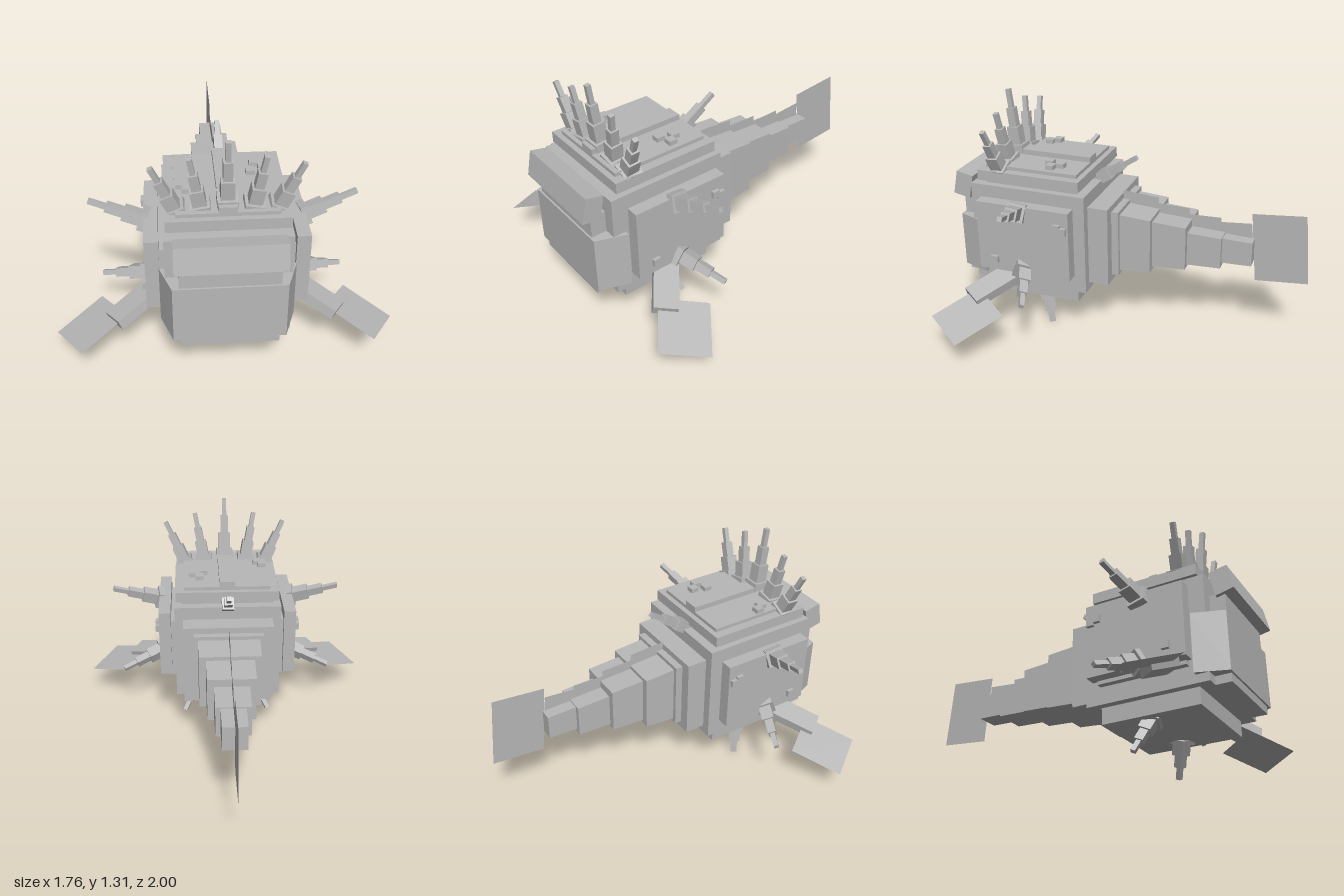
import * as THREE from 'three';

const grey = new THREE.MeshStandardMaterial({ color: 0xb8b8b8, flatShading: true });
grey.name = 'grey';
const greySheet = new THREE.MeshStandardMaterial({ color: 0xb8b8b8, flatShading: true, side: THREE.DoubleSide });
greySheet.name = 'grey sheet';

const rad = THREE.MathUtils.degToRad;

export function createModel() {
  const model = new THREE.Group();
  model.name = 'spinyBoxFish';

  function add(name, geometry, material = grey, parent = model) {
    const mesh = new THREE.Mesh(geometry, material);
    mesh.name = name;
    parent.add(mesh);
    return mesh;
  }

  // Box given by its limits on each axis
  function block(name, x0, x1, y0, y1, z0, z1) {
    const mesh = add(name, new THREE.BoxGeometry(x1 - x0, y1 - y0, z1 - z0));
    mesh.position.set((x0 + x1) / 2, (y0 + y1) / 2, (z0 + z1) / 2);
    return mesh;
  }

  // Stepped spike running from base to tip
  function spike(name, base, tip, pad = true) {
    const group = new THREE.Group();
    group.name = name;
    const a = new THREE.Vector3(...base);
    const dir = new THREE.Vector3(...tip).sub(a);
    const len = dir.length();
    group.position.copy(a);
    group.quaternion.setFromUnitVectors(new THREE.Vector3(0, 1, 0), dir.normalize());
    const steps = [[-0.06, 0.36, 0.068], [0.36, 0.68, 0.046], [0.68, 1, 0.026]];
    if (pad) steps.push([-0.08, 0.05, 0.1]);
    for (const [from, to, w] of steps) {
      const part = add('spikeStep', new THREE.BoxGeometry(w, (to - from) * len, w), grey, group);
      part.position.y = ((from + to) / 2) * len;
    }
    model.add(group);
  }

  // Flat upright sheet in the middle plane, corners as [z, y]
  function sheet(name, points) {
    const shape = new THREE.Shape(points.map(([z, y]) => new THREE.Vector2(-z, y)));
    add(name, new THREE.ShapeGeometry(shape), greySheet).rotation.y = Math.PI / 2;
  }

  // Body, belly and back plates
  block('body', -0.31, 0.31, 0.265, 0.845, 0.185, 0.86);
  block('belly', -0.267, 0.267, 0.175, 0.265, 0.25, 0.79);
  block('backNeck', -0.27, 0.27, 0.84, 0.87, 0.24, 0.78);
  block('backPlate', -0.3, 0.3, 0.865, 0.925, 0.22, 0.82);
  block('backTop', -0.25, 0.25, 0.92, 0.945, 0.25, 0.79);
  block('backRidge', -0.045, 0.045, 0.94, 0.975, 0.25, 0.79);
  for (const [x, z] of [[0.16, 0.375], [0.2, 0.42], [0.135, 0.45], [-0.22, 0.555], [-0.19, 0.595]])
    block('backBump', x - 0.023, x + 0.023, 0.935, 0.97, z - 0.023, z + 0.023);

  // Face: central block, angled cheeks and a tilted upper lip
  block('face', -0.245, 0.245, 0.265, 0.75, 0.8, 0.945);
  const cheekShape = new THREE.Shape([
    new THREE.Vector2(-0.338, -0.79), new THREE.Vector2(0.338, -0.79),
    new THREE.Vector2(0.278, -0.955), new THREE.Vector2(-0.278, -0.955),
  ]);
  const cheeks = add('cheeks', new THREE.ExtrudeGeometry(cheekShape, { depth: 0.32, bevelEnabled: false }));
  cheeks.rotation.x = -Math.PI / 2;
  cheeks.position.y = 0.31;
  const lip = block('upperLip', -0.268, 0.268, 0.738, 0.878, 0.886, 0.986);
  lip.rotation.x = rad(-12);

  // Mirrored side parts
  for (const s of [-1, 1]) {
    const side = (name, x0, x1, ...rest) => block(name, Math.min(s * x0, s * x1), Math.max(s * x0, s * x1), ...rest);
    side('sidePlateInner', 0.3, 0.345, 0.36, 0.72, 0.27, 0.76);
    side('sidePlate', 0.335, 0.405, 0.38, 0.785, 0.24, 0.785);
    for (const [y, z] of [[0.695, 0.305], [0.68, 0.27], [0.45, 0.685]])
      side('sideBump', 0.39, 0.425, y - 0.02, y + 0.02, z - 0.02, z + 0.02);

    // Spikes on the flank, belly and back
    spike('upperSideSpike', [s * 0.41, 0.755, 0.54], [s * 0.68, 0.84, 0.49]);
    spike('lowerSideSpike', [s * 0.4, 0.4, 0.52], [s * 0.64, 0.32, 0.42]);
    spike('bellySpike', [s * 0.18, 0.18, 0.485], [s * 0.265, 0.005, 0.42]);
    spike('innerBackSpike', [s * 0.13, 0.945, 0.715], [s * 0.18, 1.22, 0.745]);
    spike('outerBackSpike', [s * 0.25, 0.93, 0.71], [s * 0.36, 1.17, 0.735]);

    // Side fin: thick root and thin flat blade sharing one tilt
    for (const [name, geometry, material, x, y, z] of [
      ['finRoot', new THREE.BoxGeometry(0.3, 0.055, 0.131), grey, 0.462, 0.318, 0.671],
      ['finBlade', new THREE.PlaneGeometry(0.297, 0.268).rotateX(-Math.PI / 2), greySheet, 0.693, 0.232, 0.726],
    ]) {
      const tilt = new THREE.Group();
      tilt.name = name + 'Tilt';
      tilt.position.set(s * x, y, z);
      tilt.rotation.z = rad(-20.5 * s);
      add(name, geometry, material, tilt).rotation.y = rad(-35 * s);
      model.add(tilt);
    }
  }
  spike('middleBackSpike', [0, 0.975, 0.715], [0, 1.308, 0.755]);
  spike('rearSpike', [0, 0.83, 0.235], [0, 0.99, -0.01], false);

  // Tail: stepped blocks that narrow slightly towards the back
  block('tailRoot', -0.26, 0.26, 0.31, 0.77, 0.07, 0.2);
  block('tailCollar', -0.2, 0.2, 0.35, 0.735, 0.03, 0.1);
  const tail = [ // half width, bottom, top, front z, back z
    [0.178, 0.37, 0.715, 0.06, -0.145],
    [0.136, 0.405, 0.68, -0.13, -0.335],
    [0.097, 0.43, 0.625, -0.32, -0.525],
    [0.068, 0.46, 0.61, -0.5, -0.69],
  ];
  for (const [w, y0, y1, z0, z1] of tail) {
    const segment = block('tailSegment', -w, w, y0, y1, z1, z0);
    const p = segment.geometry.attributes.position;
    for (let i = 0; i < p.count; i++)
      if (p.getZ(i) < 0) p.setXYZ(i, p.getX(i) * 0.98, p.getY(i) * 0.92, p.getZ(i));
    segment.geometry.computeVertexNormals();
  }

  // Thin crest along the tail and the tail fin
  sheet('crest', [[0.07, 0.785], [-0.14, 0.77], [-0.15, 0.6], [0.06, 0.6]]);
  sheet('crest', [[-0.14, 0.735], [-0.32, 0.73], [-0.33, 0.55], [-0.15, 0.55]]);
  sheet('crest', [[-0.32, 0.695], [-0.5, 0.7], [-0.51, 0.55], [-0.33, 0.55]]);
  sheet('crest', [[-0.5, 0.675], [-0.67, 0.69], [-0.68, 0.55], [-0.51, 0.55]]);
  sheet('tailFin', [[-0.668, 0.748], [-0.96, 0.775], [-0.998, 0.375], [-0.705, 0.348]]);

  return model;
}
